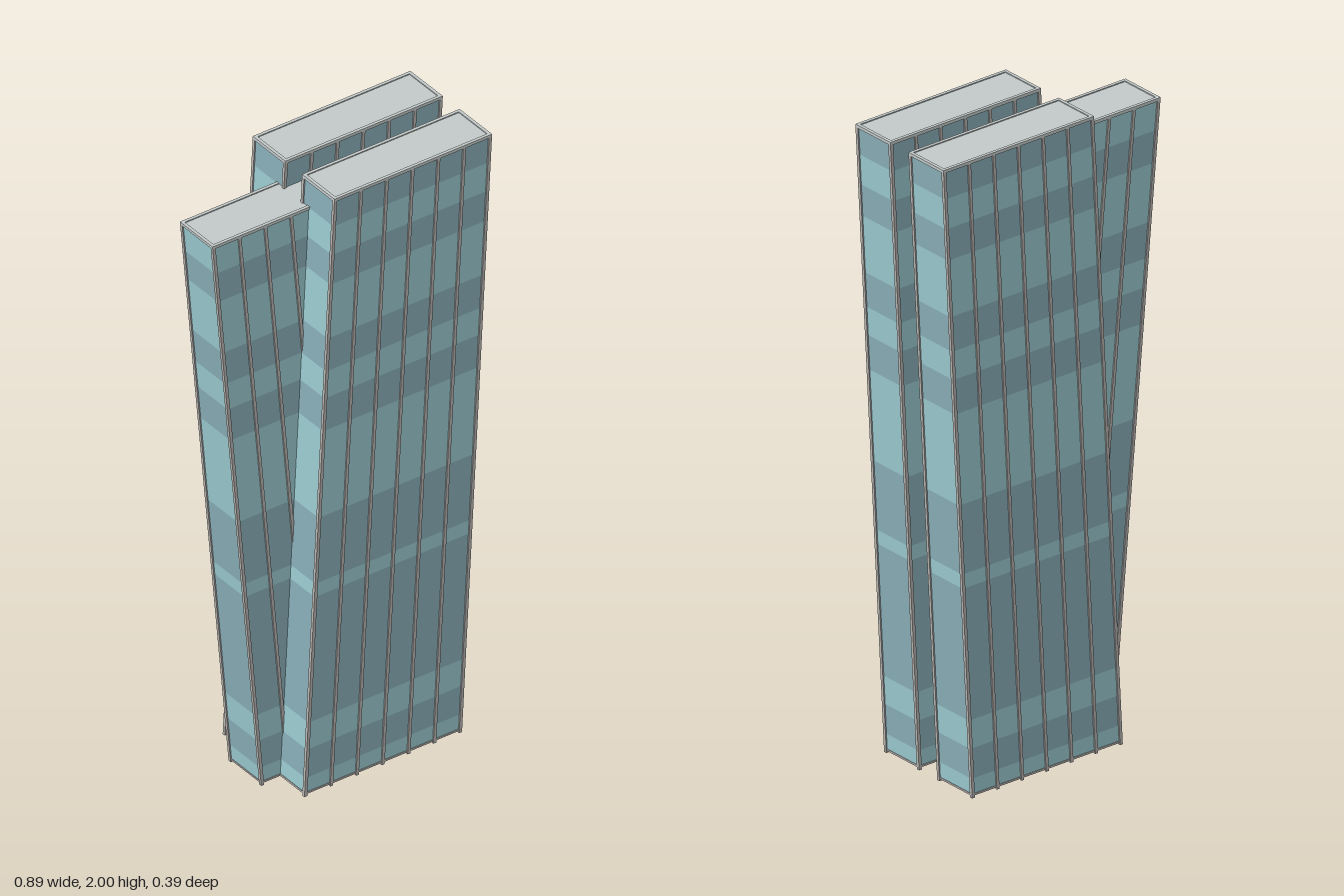
import * as THREE from 'three';

const flat = (name, color, side = THREE.FrontSide) => {
  const m = new THREE.MeshStandardMaterial({ color, side });
  m.name = name;
  return m;
};

// Heights where the glass changes shade, from the ground up (starts light)
const BANDS = [0.01, 0.06, 0.155, 0.245, 0.665, 0.71, 0.93, 1.22, 1.33, 1.42, 1.53, 1.71, 1.81, 1.905, 1.99];
const HALF = 0.275; // half the length of a slab
const BAYS = 6;
const T = 0.01; // frame thickness

export function createModel() {
  const lightGlass = flat('lightGlass', 0x9acacf, THREE.DoubleSide);
  const darkGlass = flat('darkGlass', 0x88adb7, THREE.DoubleSide);
  const frame = flat('frame', 0xb6b3b0);
  const roof = flat('roof', 0xc2c9c8, THREE.DoubleSide);

  // One leaning tower slab: base centre x, lean per unit of height, height, depth range
  function slab(name, baseX, lean, height, z0, z1) {
    const group = new THREE.Group();
    group.name = name;

    // Box between two corners, sheared along x with height
    function part(label, material, x0, x1, y0, y1, za, zb, open = false) {
      const geo = new THREE.BoxGeometry(x1 - x0, y1 - y0, zb - za);
      geo.translate((x0 + x1) / 2, (y0 + y1) / 2, (za + zb) / 2);
      const p = geo.attributes.position;
      for (let i = 0; i < p.count; i++) p.setX(i, p.getX(i) + baseX + lean * p.getY(i));
      if (open) { // drop the top and bottom faces
        const idx = Array.from(geo.index.array);
        geo.setIndex([...idx.slice(0, 12), ...idx.slice(24)]);
        geo.clearGroups();
      }
      geo.computeVertexNormals();
      const mesh = new THREE.Mesh(geo, material);
      mesh.name = label;
      group.add(mesh);
    }

    // Glass walls in horizontal bands, open underneath
    const g = 0.004;
    const top = height - T;
    for (let i = 0; i < BANDS.length - 1 && BANDS[i] < top; i++) {
      part('glassBand', i % 2 ? darkGlass : lightGlass, -HALF + g, HALF - g,
        BANDS[i], Math.min(BANDS[i + 1], top), z0 + g, z1 - g, true);
    }

    // Mullions on both long faces, the end ones forming corner posts
    for (let i = 0; i <= BAYS; i++) {
      const corner = i === 0 || i === BAYS;
      const x = -HALF + T / 2 + (i * (2 * HALF - T)) / BAYS;
      const d = corner ? T : 0.006;
      const label = corner ? 'cornerPost' : 'mullion';
      part(label, frame, x - T / 2, x + T / 2, 0, top, z1 - d, z1);
      part(label, frame, x - T / 2, x + T / 2, 0, top, z0, z0 + d);
    }

    // Roof panel with a low rim
    part('roofPanel', roof, -HALF + T, HALF - T, height - T, height - 0.003, z0 + T, z1 - T);
    part('roofRim', roof, -HALF, HALF, height - T, height, z1 - T, z1);
    part('roofRim', roof, -HALF, HALF, height - T, height, z0, z0 + T);
    part('roofRim', roof, -HALF, -HALF + T, height - T, height, z0 + T, z1 - T);
    part('roofRim', roof, HALF - T, HALF, height - T, height, z0 + T, z1 - T);

    // Thin sill along the open base
    for (const z of [z0 + 0.002, z1 - 0.008]) {
      part('baseSill', frame, -HALF + T, HALF - T, 0.006, 0.012, z, z + 0.006);
    }
    for (const x of [-HALF + 0.002, HALF - 0.008]) {
      part('baseSill', frame, x, x + 0.006, 0.006, 0.012, z0 + T, z1 - T);
    }
    return group;
  }

  const model = new THREE.Group();
  model.name = 'leaningTower';
  model.add(
    slab('frontSlab', 0.065, 0.0525, 2, 0.04, 0.195),
    slab('backSlab', 0.065, 0.0525, 2, -0.195, -0.04),
    slab('middleSlab', 0, -0.089, 1.91, -0.078, 0.078),
  );
  return model;
}
